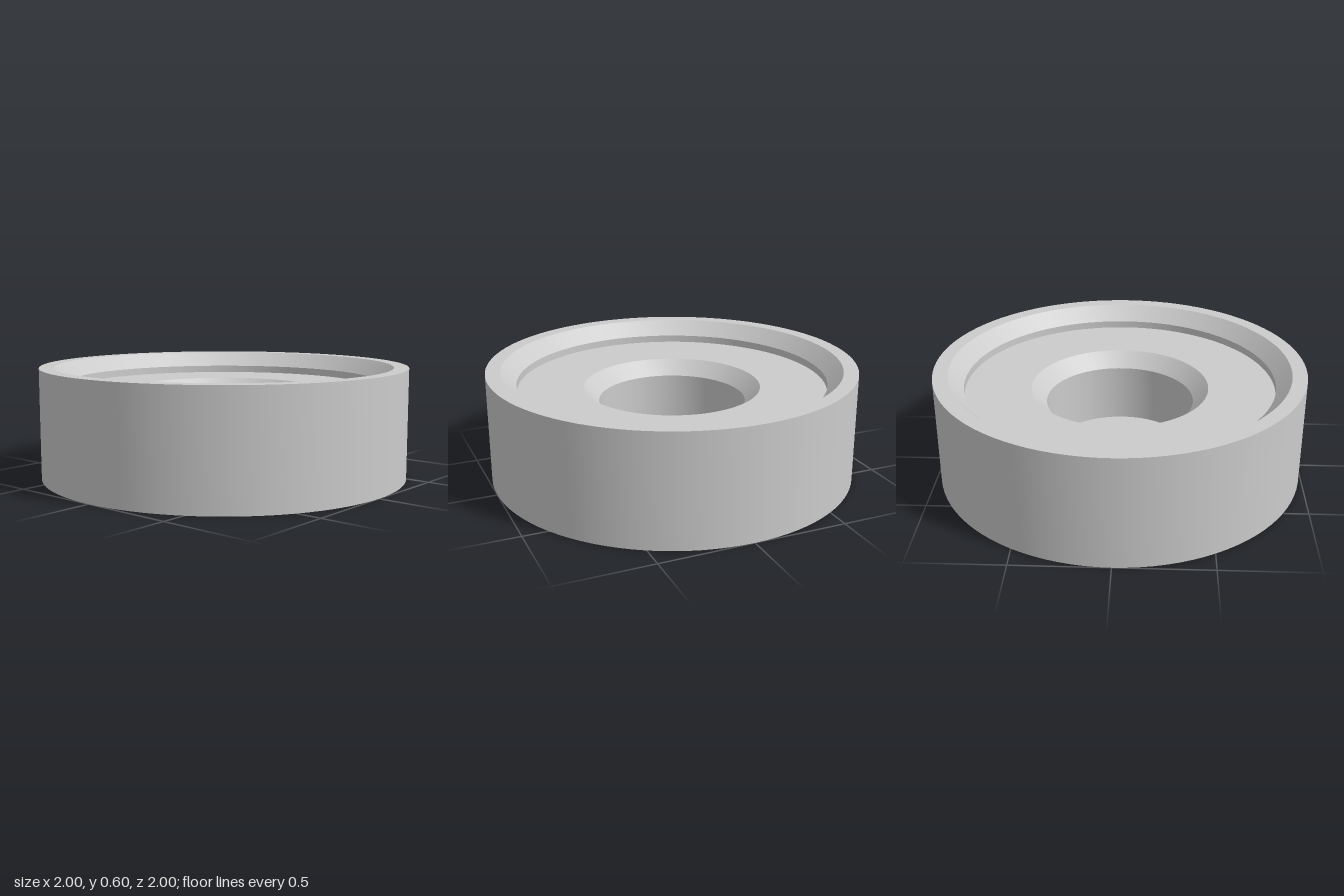
import * as THREE from 'three';
import { toCreasedNormals } from 'three/addons/utils/BufferGeometryUtils.js';

export function createModel() {
  const group = new THREE.Group();
  const material = new THREE.MeshStandardMaterial({ color: 0xcccccc });

  // Half section as [radius, height], from the base centre round to the bore floor
  const section = [
    [0, 0], [1, 0], [1, 0.6],      // solid base and outer wall
    [0.92, 0.6], [0.84, 0.52],     // flat rim and its inner chamfer
    [0.84, 0.48], [0.48, 0.48],    // short step down to the recessed face
    [0.4, 0.4], [0.4, 0.08],       // chamfered blind bore
    [0, 0.08],                     // bore floor
  ].map(([r, y]) => new THREE.Vector2(r, y));

  // Round walls stay smooth, section corners stay sharp
  const geometry = toCreasedNormals(new THREE.LatheGeometry(section, 96), Math.PI / 7);
  const body = new THREE.Mesh(geometry, material);
  body.name = 'recessedRoundBody';
  group.add(body);
  return group;
}
